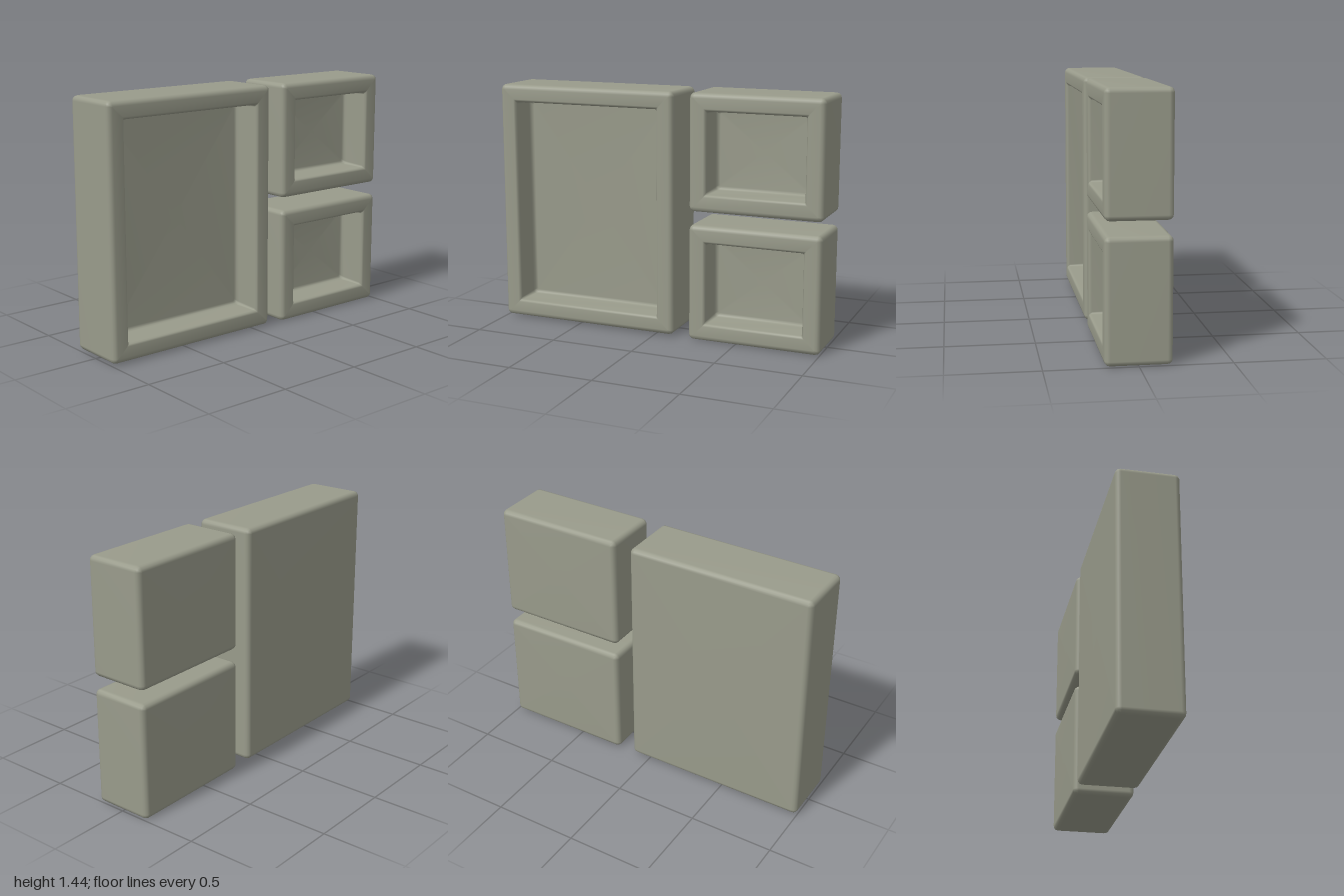
import * as THREE from 'three';

const HALF_DEPTH = 0.18, BEVEL = 0.03, BEVEL_STEPS = 3, CORNER_STEPS = 3;

// One loop of a rounded rectangle, anticlockwise seen from the front
function roundedLoop(w, h, r, z) {
  const points = [];
  for (let c = 0; c < 4; c++) {
    const sx = c === 0 || c === 3 ? 1 : -1, sy = c < 2 ? 1 : -1;
    for (let s = 0; s <= CORNER_STEPS; s++) {
      const a = (c + s / CORNER_STEPS) * Math.PI / 2;
      points.push([sx * (w / 2 - r) + r * Math.cos(a), sy * (h / 2 - r) + r * Math.sin(a), z]);
    }
  }
  return points;
}

// Section from back edge, round the outside, over the rim and into the recess:
// [inset, z, corner radius]
function trayProfile() {
  const rings = [];
  for (const side of [-1, 1]) {
    for (let s = 0; s <= BEVEL_STEPS; s++) {
      const t = s / BEVEL_STEPS * Math.PI / 2, a = side < 0 ? t : Math.PI / 2 - t;
      const inset = BEVEL * (1 - Math.sin(a));
      rings.push([inset, side * (HALF_DEPTH - BEVEL * (1 - Math.cos(a))), Math.max(BEVEL - inset, 0.003)]);
    }
  }
  rings.push(
    [0.088, 0.18, 0.003], [0.098, 0.175, 0.006], [0.104, 0.162, 0.012], // rim edge
    [0.106, 0.025, 0.018], [0.112, 0.008, 0.018], [0.126, 0, 0.012],    // floor fillet
  );
  return rings;
}

// Skin the loops and close both ends with a fan
function trayGeometry(w, h) {
  const loops = trayProfile().map(([i, z, r]) => roundedLoop(w - 2 * i, h - 2 * i, r, z));
  const n = loops[0].length, last = (loops.length - 1) * n;
  const positions = loops.flat(2), index = [];
  const back = loops.length * n, floor = back + 1;
  positions.push(0, 0, -HALF_DEPTH, 0, 0, 0);
  for (let j = 0; j < n; j++) {
    const k = (j + 1) % n;
    for (let i = 0; i < last; i += n) {
      index.push(i + j, i + k, i + n + k, i + j, i + n + k, i + n + j);
    }
    index.push(back, k, j, floor, last + j, last + k);
  }
  const geometry = new THREE.BufferGeometry();
  geometry.setAttribute('position', new THREE.Float32BufferAttribute(positions, 3));
  geometry.setIndex(index);
  geometry.computeVertexNormals();
  return geometry;
}

export function createModel() {
  const group = new THREE.Group();
  group.name = 'wallBoxSet';
  const material = new THREE.MeshStandardMaterial({ color: 0x999b8b });

  // Name, left, right, bottom, top of each open-fronted box
  const boxes = [
    ['largeBox', -1, 0.115, 0.01, 1.44],
    ['upperSmallBox', 0.213, 1, 0.763, 1.442],
    ['lowerSmallBox', 0.213, 1, 0.002, 0.686],
  ];
  for (const [name, x0, x1, y0, y1] of boxes) {
    const box = new THREE.Mesh(trayGeometry(x1 - x0, y1 - y0), material);
    box.name = name;
    box.position.set((x0 + x1) / 2, (y0 + y1) / 2, 0);
    group.add(box);
  }
  return group;
}
